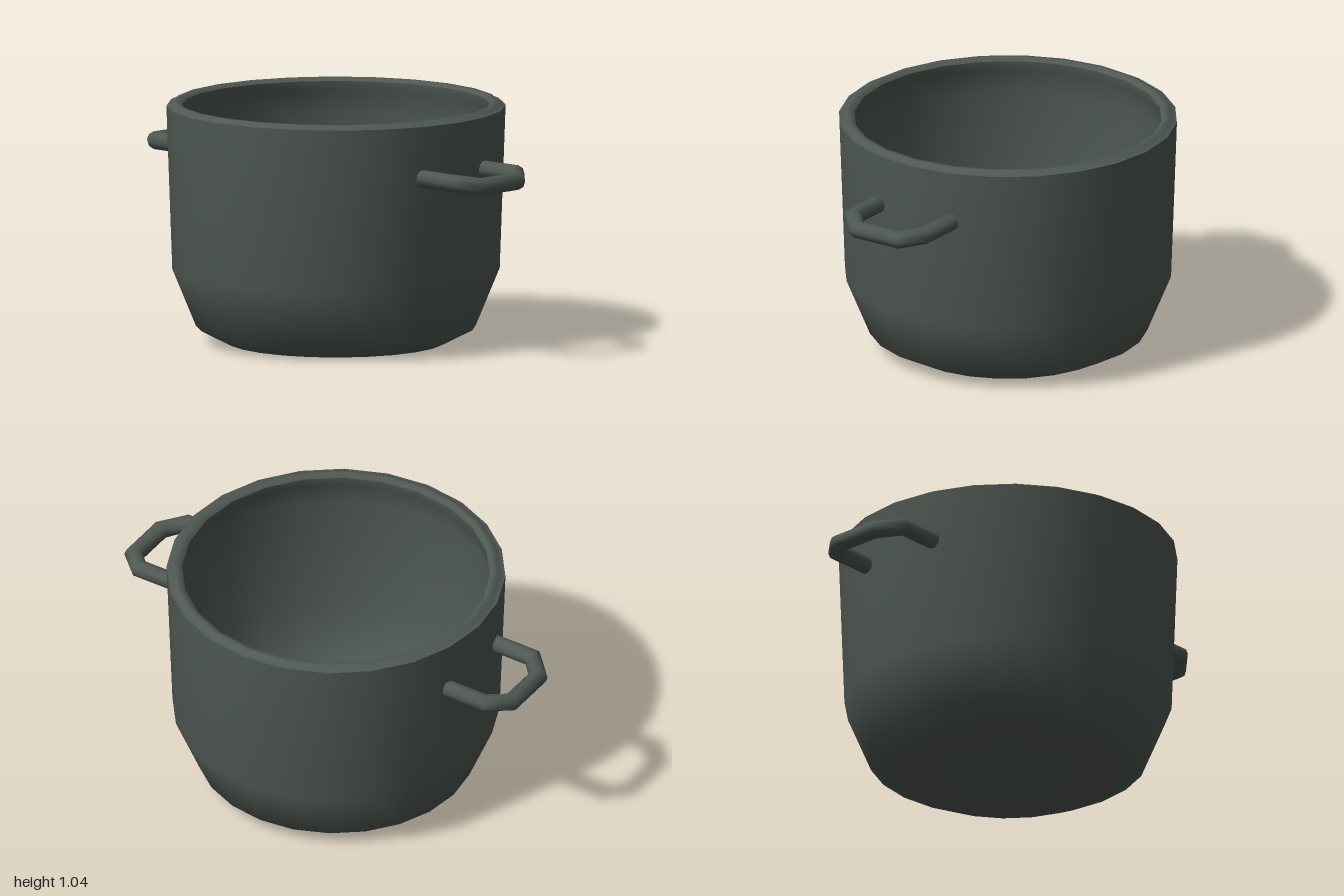
import * as THREE from 'three';

const SIDES = 24;

export function createModel() {
  const group = new THREE.Group();
  const iron = new THREE.MeshStandardMaterial({ color: 0x4f5852 });
  iron.name = 'dark grey-green iron';

  // Turned part from [radius, height] points; outside runs upward, inside downward
  const turned = (name, points) => {
    const profile = points.map(([r, y]) => new THREE.Vector2(r, y));
    const mesh = new THREE.Mesh(new THREE.LatheGeometry(profile, SIDES), iron);
    mesh.name = name;
    group.add(mesh);
  };

  turned('potOutside', [[0, 0], [0.47, 0], [0.6, 0.067], [0.702, 0.315], [0.726, 0.985]]);
  turned('rimBand', [[0.726, 0.985], [0.727, 1.023]]);
  turned('rimTop', [[0.727, 1.023], [0.705, 1.026], [0.696, 1.04], [0.676, 1.04], [0.66, 1.026]]);
  turned('potInside', [
    [0.66, 1.026], [0.662, 0.99], [0.704, 0.87], [0.686, 0.32], [0.585, 0.085], [0.46, 0.022], [0, 0.022],
  ]);

  // Bail handles: round bar bent at mitred corners
  const path = [
    [0.69, 0.797, 0.19], [0.88, 0.797, 0.19], [0.962, 0.782, 0.107],
    [0.962, 0.782, -0.107], [0.88, 0.797, -0.19], [0.69, 0.797, -0.19],
  ].map((p) => new THREE.Vector3(...p));
  const handleGeometry = barGeometry(path, 0.038, 10);
  for (const [name, angle] of [['leftHandle', 0], ['rightHandle', Math.PI]]) {
    const handle = new THREE.Mesh(handleGeometry, iron);
    handle.name = name;
    handle.rotation.y = angle;
    group.add(handle);
  }
  return group;
}

// Sweeps a circle along straight segments, widening each ring at the bends
function barGeometry(path, radius, sides) {
  const positions = [], index = [];
  const up = new THREE.Vector3(0, 1, 0);
  path.forEach((p, i) => {
    const before = p.clone().sub(path[Math.max(i - 1, 0)]).normalize();
    const after = path[Math.min(i + 1, path.length - 1)].clone().sub(p).normalize();
    const tangent = before.clone().add(after).normalize();
    const across = tangent.clone().cross(up).normalize();
    const lift = across.clone().cross(tangent);
    const miter = 1 / Math.max(tangent.dot(after), tangent.dot(before));
    for (let j = 0; j < sides; j++) {
      const a = (j / sides) * Math.PI * 2;
      const v = p.clone()
        .addScaledVector(across, Math.cos(a) * radius * miter)
        .addScaledVector(lift, Math.sin(a) * radius);
      positions.push(v.x, v.y, v.z);
      if (i > 0) {
        const k = (j + 1) % sides, r0 = (i - 1) * sides, r1 = i * sides;
        index.push(r0 + j, r1 + j, r0 + k, r0 + k, r1 + j, r1 + k);
      }
    }
  });
  // Flat end caps
  const last = (path.length - 1) * sides;
  for (let j = 1; j < sides - 1; j++) {
    index.push(0, j, j + 1, last, last + j + 1, last + j);
  }
  const geometry = new THREE.BufferGeometry();
  geometry.setAttribute('position', new THREE.Float32BufferAttribute(positions, 3));
  geometry.setIndex(index);
  geometry.computeVertexNormals();
  return geometry;
}
